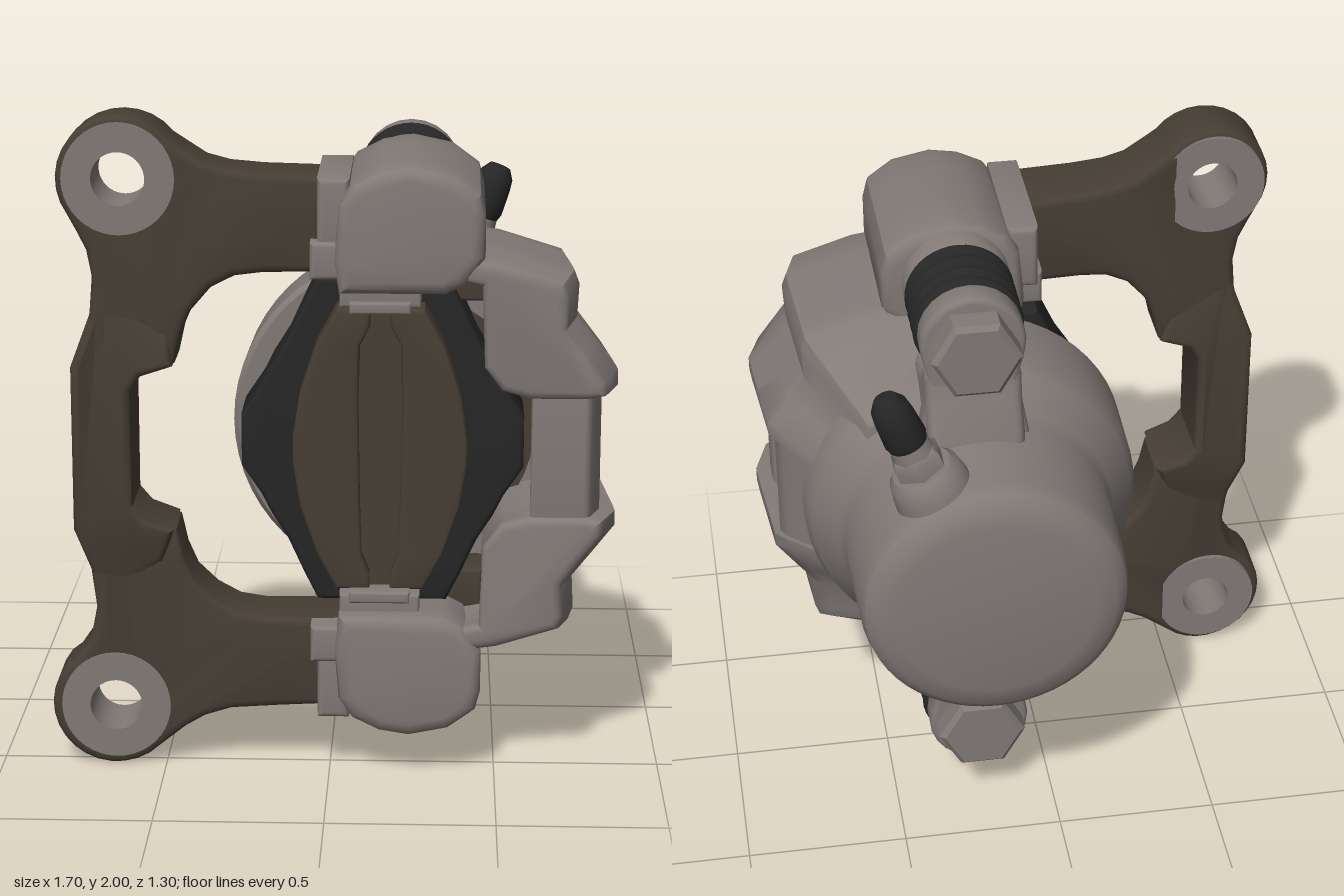
import * as THREE from 'three';
import { toCreasedNormals } from 'three/addons/utils/BufferGeometryUtils.js';

const V = (x, y) => new THREE.Vector2(x, y);
const { clamp } = THREE.MathUtils;

export function createModel() {
  const root = new THREE.Group();
  const mat = (name, color) => {
    const m = new THREE.MeshStandardMaterial({ color });
    m.name = name;
    return m;
  };
  const metal = mat('cast metal', 0x817a77);
  const bronze = mat('dark bronze', 0x463e34);
  const rubber = mat('black rubber', 0x262626);

  const add = (name, geo, material) => {
    const mesh = new THREE.Mesh(geo, material);
    mesh.name = name;
    root.add(mesh);
    return mesh;
  };

  // Outline in x/y extruded from z0 to z1 with soft edges, optionally warped
  const plate = (pts, z0, z1, bevel = 0.02, { holes = [], warp, steps = 1 } = {}) => {
    const shape = new THREE.Shape(pts.map(p => V(p[0], p[1])));
    for (const [x, y, r] of holes) {
      shape.holes.push(new THREE.Path().absarc(x, y, r, 0, Math.PI * 2, true));
    }
    const geo = new THREE.ExtrudeGeometry(shape, {
      depth: z1 - z0 - 2 * bevel, steps, curveSegments: 16, bevelEnabled: bevel > 0,
      bevelSize: bevel, bevelThickness: bevel, bevelOffset: -bevel, bevelSegments: 3,
    });
    geo.translate(0, 0, z0 + bevel);
    if (warp) {
      const p = geo.attributes.position;
      const v = new THREE.Vector3();
      for (let i = 0; i < p.count; i++) {
        warp(v.fromBufferAttribute(p, i));
        p.setXYZ(i, v.x, v.y, v.z);
      }
    }
    return toCreasedNormals(geo, 0.65);
  };

  // Turned part; profile points are [radius, height], rising
  const turned = (pts, sides = 40) =>
    toCreasedNormals(new THREE.LatheGeometry(pts.map(p => V(p[0], p[1])), sides), 0.65);

  const arc = (cx, cy, r, a0, a1, n = 14) => Array.from({ length: n + 1 }, (_, i) => {
    const a = THREE.MathUtils.degToRad(a0 + (a1 - a0) * i / n);
    return [cx + r * Math.cos(a), cy + r * Math.sin(a)];
  });
  const rect = (x0, x1, y0, y1) => [[x0, y0], [x1, y0], [x1, y1], [x0, y1]];
  const flipY = pts => pts.map(([x, y]) => [x, 2 - y]);
  const closeY = pts => [...pts, ...flipY(pts).reverse()];

  // Mounting bracket with two eyes, thinner toward the eyes
  const eyes = [[-0.617, 1.813], [-0.65, 0.193]];
  const bracket = [
    [0.04, 1.82], [-0.2, 1.83], [-0.3, 1.84], [-0.37, 1.86], [-0.43, 1.9],
    ...arc(-0.615, 1.81, 0.187, 38, 215),
    [-0.745, 1.66], [-0.715, 1.6], [-0.7, 1.52], [-0.71, 1.4], [-0.765, 1.25],
    [-0.765, 0.75], [-0.72, 0.62], [-0.705, 0.5], [-0.725, 0.4], [-0.77, 0.335],
    ...arc(-0.655, 0.19, 0.19, 140, 315),
    [-0.44, 0.12], [-0.38, 0.155], [-0.3, 0.18], [-0.15, 0.19], [0.04, 0.2],
    [0.04, 0.47], [-0.2, 0.475], [-0.28, 0.49], [-0.35, 0.53], [-0.41, 0.59], [-0.44, 0.66], [-0.46, 0.75],
    [-0.55, 0.78], [-0.59, 0.83], [-0.59, 1.18], [-0.56, 1.23], [-0.46, 1.26],
    [-0.44, 1.35], [-0.41, 1.42], [-0.35, 1.49], [-0.28, 1.525], [-0.2, 1.535], [0.04, 1.54],
  ];
  add('bracket', plate(bracket, 0.3, 0.55, 0.025, {
    holes: eyes.map(([x, y]) => [x, y, 0.1]),
    warp: v => { v.z = 0.55 - (0.55 - v.z) * (1 + 0.36 * v.x); },
  }), bronze);
  // Thicker middle of the bracket, fading into its ends
  add('bracketBar', plate([
    [-0.69, 1.48], [-0.712, 1.4], [-0.767, 1.25], [-0.767, 0.75], [-0.72, 0.62], [-0.7, 0.52],
    [-0.5, 0.65], [-0.465, 0.755], [-0.55, 0.785],
    [-0.588, 0.83], [-0.588, 1.18], [-0.56, 1.225], [-0.465, 1.255], [-0.48, 1.35],
  ], 0.312, 0.58, 0.025, {
    warp: v => { v.z = 0.453 + (v.z - 0.446) * (1 - 0.34 * clamp((Math.abs(v.y - 1) - 0.22) / 0.2, 0, 1)); },
  }), bronze);
  for (const [x, y] of eyes) {
    const ring = turned([[0.079, 0.345], [0.166, 0.345], [0.166, 0.556], [0.079, 0.556], [0.079, 0.345]]);
    add('eyeBushing', ring.rotateX(Math.PI / 2).translate(x, y, 0), metal);
  }

  // Piston housing: round body flaring to a wide mouth
  add('pistonHousing', turned([
    [0, -0.655], [0.3, -0.652], [0.36, -0.64], [0.395, -0.61], [0.406, -0.56], [0.414, -0.25],
    [0.43, -0.21], [0.5, -0.12], [0.52, -0.06], [0.525, 0.18], [0.51, 0.2], [0, 0.2],
  ], 56).rotateX(Math.PI / 2).translate(0.215, 1, 0), metal);

  // Bridge lobes and window walls, shrinking into the housing
  const taper = v => {
    const rear = clamp((0.1 - v.z) / 0.25, 0, 1);
    const front = clamp((v.z - 0.48) / 0.155, 0, 1);
    const mid = clamp((0.48 - v.z) / 0.38, 0, 1);
    v.x = 0.21 + (v.x - 0.21) * (1 - 0.05 * mid - 0.3 * rear - 0.08 * front);
    v.y = 1 + (v.y - 1) * (1 - 0.02 * mid - 0.28 * rear - 0.03 * front);
  };
  const lobe = [
    [0.36, 1.62], [0.52, 1.6], [0.72, 1.54], [0.735, 1.5], [0.73, 1.4], [0.785, 1.33],
    [0.855, 1.24], [0.855, 1.195], [0.8, 1.185], [0.62, 1.185], [0.53, 1.21], [0.475, 1.28],
    [0.465, 1.53], [0.36, 1.55],
  ];
  const wall = outer => rect(0.62, outer, 0.75, 1.25);
  for (const f of [p => p, flipY]) {
    add('bridgeLobe', plate(f(lobe), -0.17, 0.635, 0.025, { warp: taper, steps: 12 }), metal);
  }
  add('bridgeFrontWall', plate(wall(0.81), 0.37, 0.615, 0.02, { warp: taper, steps: 4 }), metal);
  add('bridgeRearWall', plate(wall(0.835), -0.17, 0.14, 0.02, { warp: taper, steps: 6 }), metal);
  add('windowLiner', plate(rect(0.625, 0.748, 0.82, 1.19), 0.13, 0.24, 0), rubber);

  // Brake pad: rear plate, black carrier and grooved friction blocks
  add('padBacking', new THREE.CylinderGeometry(0.41, 0.41, 0.03, 48)
    .rotateX(Math.PI / 2).translate(0.21, 1, 0.21), bronze);
  const edge = [
    [-0.04, 1.5], [-0.08, 1.42], [-0.13, 1.31], [-0.18, 1.23], [-0.21, 1.17], [-0.27, 1.08],
  ];
  const half = closeY(edge);
  const mirrored = half.map(([x, y]) => [0.31 - x, y]).reverse();
  add('padCarrier', plate([...half, ...mirrored], 0.2, 0.44, 0.015), rubber);
  const leftBlock = [
    ...closeY([[0.12, 1.43], [0.02, 1.43], [-0.04, 1.32], [-0.09, 1.17], [-0.11, 1.04]]),
    [0.12, 0.62], [0.095, 0.68], [0.09, 0.85], [0.085, 1.15], [0.09, 1.32], [0.12, 1.38],
  ];
  add('frictionBlock', plate(leftBlock, 0.42, 0.555, 0.012), bronze);
  add('frictionBlock', plate(leftBlock.map(([x, y]) => [0.3 - x, y]), 0.42, 0.555, 0.012), bronze);
  add('frictionGroove', plate(rect(0.08, 0.22, 0.57, 1.43), 0.42, 0.52, 0), bronze);

  // Parts repeated at the upper and lower guide pins
  const pinX = 0.23;
  const guide = [
    [0.03, 1.5], [0.015, 1.6], [0.03, 1.77], [0.07, 1.83], [0.15, 1.87], [0.24, 1.885],
    [0.36, 1.86], [0.44, 1.8], [0.455, 1.74], [0.455, 1.61], [0.4, 1.53], [0.34, 1.5],
  ];
  const ear = [
    ...arc(pinX, 1.71, 0.158, -15, 195), [0.1, 1.58], [0.085, 1.5], [0.06, 1.36],
    [0.4, 1.36], [0.375, 1.5], [0.36, 1.58],
  ];
  // Side profile of the ear's foot, as [z, y]
  const foot = [
    [-0.29, 1.61], [-0.305, 1.52], [-0.36, 1.42], [-0.36, 1.3], [0.1, 1.3],
    [0.1, 1.53], [-0.1, 1.53], [-0.17, 1.555], [-0.2, 1.62],
  ];
  const boot = [[0, -0.205]];
  for (let i = 0; i <= 48; i++) {
    boot.push([0.125 + 0.042 * Math.sqrt(Math.abs(Math.sin(i / 48 * Math.PI * 4))), -0.205 + i / 48 * 0.245]);
  }
  boot.push([0, 0.04]);
  for (const f of [p => p, flipY]) {
    const pinY = f([[0, 1.705]])[0][1];
    const onPin = geo => geo.rotateX(Math.PI / 2).translate(pinX, pinY, 0);
    add('guideHousing', plate(f(guide), 0.09, 0.65, 0.04, {
      steps: 4, warp: v => { v.y = 1 + (v.y - 1) * (1 - 0.06 * Math.max(0, v.z - 0.3)); },
    }), metal);
    add('guideNeck', onPin(turned([[0, 0.025], [0.155, 0.025], [0.165, 0.04], [0.165, 0.16], [0, 0.16]])), metal);
    add('guideBoot', onPin(turned(boot)), rubber);
    add('pinEar', plate(f(ear), -0.295, -0.2, 0.015), metal);
    add('pinEarFoot', plate(f(foot), -0.375, -0.085, 0.03).rotateY(-Math.PI / 2), metal);
    const bolt = turned([[0, -0.38], [0.12, -0.38], [0.137, -0.365], [0.137, -0.28], [0, -0.28]], 6);
    add('pinBolt', onPin(bolt.rotateY(Math.PI / 6)), metal);
    // Arm end tabs, pad clips and inner abutment
    add('armTab', plate(f(rect(-0.035, 0.06, 1.62, 1.825)), 0.15, 0.6, 0.02), metal);
    add('armTabFoot', plate(f(rect(-0.055, 0.08, 1.53, 1.64)), 0.2, 0.62, 0.015), metal);
    add('padClip', plate(f(rect(0.03, 0.27, 1.44, 1.53)), 0.36, 0.575, 0.01), metal);
    add('padClipLip', plate(f(rect(0.06, 0.24, 1.425, 1.46)), 0.48, 0.6, 0.008), metal);
    add('abutment', plate(f(rect(0.2, 0.46, 1.42, 1.54)), 0.2, 0.38, 0.01), bronze);
  }

  // Bleed nipple, leaning radially out of the housing
  const nipple = new THREE.Group();
  nipple.name = 'bleedNipple';
  nipple.position.set(0.38, 1.34, -0.49);
  nipple.rotation.z = -0.38;
  const part = (name, geo, m) => nipple.add(add(name, geo, m));
  part('nippleBoss', turned([[0.13, -0.08], [0.118, 0.03], [0.108, 0.08], [0.09, 0.1], [0, 0.105]]), metal);
  part('nippleHex', turned([[0.08, 0.08], [0.08, 0.15], [0.07, 0.165], [0, 0.165]], 6), metal);
  part('nippleStem', new THREE.CylinderGeometry(0.055, 0.065, 0.07, 24).translate(0, 0.19, 0), metal);
  part('nippleCap', turned([
    [0, 0.2], [0.06, 0.2], [0.066, 0.22], [0.061, 0.3], [0.055, 0.34], [0.035, 0.37], [0, 0.375],
  ], 24), rubber);
  root.add(nipple);

  return root;
}
